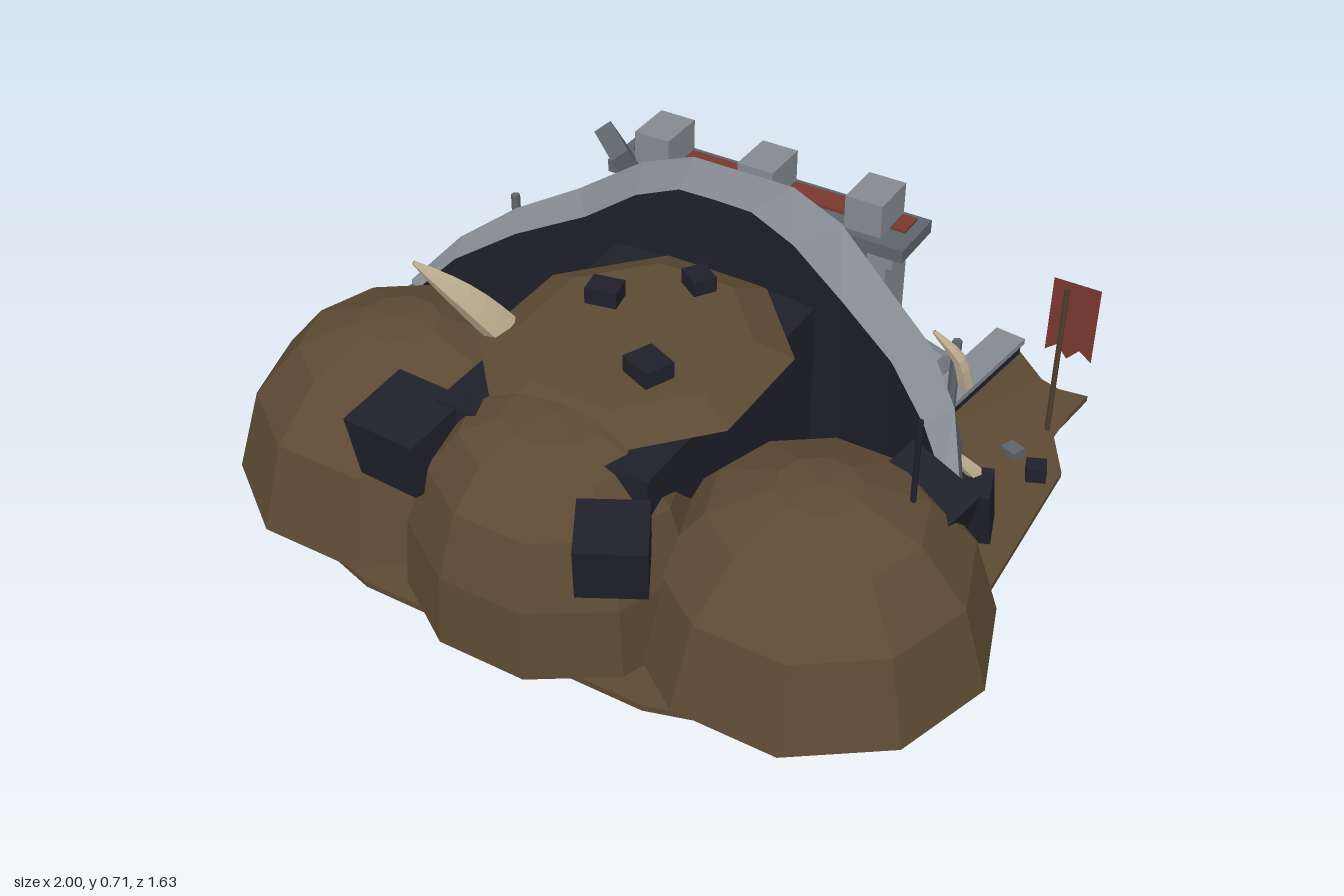
import * as THREE from 'three';

const mat = (name, color) => {
  const m = new THREE.MeshStandardMaterial({ color, flatShading: true, side: THREE.DoubleSide });
  m.name = name;
  return m;
};
const M = {
  earth: mat('earth', 0x5c4a33),
  dark: mat('dark rock', 0x20202b),
  stone: mat('pale stone', 0x858a91),
  slate: mat('slate', 0x5d646b),
  red: mat('rust red', 0x78382f),
  bone: mat('bone', 0xc6b797),
  wood: mat('wood', 0x4c3e2c),
};

// Surface through rows of points with equal counts
function loft(rows) {
  const n = rows[0].length, idx = [];
  for (let i = 0; i < rows.length - 1; i++) {
    for (let j = 0; j < n - 1; j++) {
      const a = i * n + j, b = a + n;
      idx.push(a, b, a + 1, b, b + 1, a + 1);
    }
  }
  const g = new THREE.BufferGeometry();
  g.setAttribute('position', new THREE.Float32BufferAttribute(rows.flat(2), 3));
  g.setIndex(idx);
  g.computeVertexNormals();
  return g;
}

// Tube that tapers from its base to a point
function tuskGeometry(points, radius, tipRadius = 0.005) {
  const curve = new THREE.CatmullRomCurve3(points.map(p => new THREE.Vector3(...p)));
  const n = 6, sides = 6;
  const g = new THREE.TubeGeometry(curve, n, radius, sides);
  const pos = g.attributes.position, v = new THREE.Vector3();
  for (let i = 0; i < pos.count; i++) {
    const t = Math.floor(i / (sides + 1)) / n;
    const c = curve.getPointAt(t);
    const s = 1 + (tipRadius / radius - 1) * t * t;
    v.fromBufferAttribute(pos, i).sub(c).multiplyScalar(s).add(c);
    pos.setXYZ(i, v.x, v.y, v.z);
  }
  return g;
}

export function createModel() {
  const model = new THREE.Group();
  model.name = 'hillFortress';
  const add = (name, geo, material, p = [0, 0, 0], r = [0, 0, 0]) => {
    const m = new THREE.Mesh(geo, material);
    m.name = name;
    m.position.set(...p);
    m.rotation.set(...r);
    model.add(m);
    return m;
  };
  const box = (name, size, material, p, r) => add(name, new THREE.BoxGeometry(...size), material, p, r);
  const post = (name, radius, height, material, p, r) =>
    add(name, new THREE.CylinderGeometry(radius, radius, height, 6), material, p, r);

  // Ground slab
  const half = [[0.25, -0.82], [0.57, -0.78], [0.8, -0.81], [0.78, -0.62], [0.86, -0.48],
    [0.88, 0.05], [0.88, 0.45], [0.68, 0.65], [0.38, 0.74]];
  const outline = [...half, ...half.map(([x, z]) => [-x, z]).reverse()];
  const ground = new THREE.ExtrudeGeometry(
    new THREE.Shape(outline.map(([x, z]) => new THREE.Vector2(x, -z))), { depth: 0.016, bevelEnabled: false });
  ground.rotateX(-Math.PI / 2);
  add('ground', ground, M.earth);

  // Earth mounds
  const mound = (name, profile, x, z, sy = 1, sz = 1) => {
    const g = new THREE.LatheGeometry(profile.map(p => new THREE.Vector2(...p)), 10, Math.PI / 2);
    g.scale(1, sy, sz);
    add(name, g, M.earth, [x, 0, z]);
  };
  const side = [[0.43, 0.016], [0.365, 0.24], [0.25, 0.375], [0.1, 0.44], [0, 0.45]];
  mound('leftMound', side, -0.57, 0.31);
  mound('rightMound', side, 0.57, 0.31, 0.94);
  mound('frontMound', [[0.37, 0.016], [0.355, 0.2], [0.3, 0.36], [0.22, 0.455], [0.12, 0.497], [0, 0.505]],
    0, 0.49, 1, 0.91);

  // Passage under an overhanging earth roof
  box('passage', [0.56, 0.45, 0.77], M.dark, [0, 0.242, 0.165]);
  const roof = new THREE.CylinderGeometry(0.27, 0.365, 0.045, 8);
  roof.rotateY(Math.PI / 8).scale(1, 1, 1.12);
  add('earthRoof', roof, M.earth, [0, 0.49, 0.15]);

  // Curved rampart: inner ridge x z, outer ridge x z, foot x z, height
  const stations = [
    [0, -0.215, 0, -0.35, 0, -0.4, 0.69],
    [0.1, -0.212, 0.14, -0.35, 0.17, -0.4, 0.69],
    [0.22, -0.205, 0.28, -0.335, 0.34, -0.41, 0.64],
    [0.36, -0.19, 0.44, -0.28, 0.5, -0.38, 0.54],
    [0.53, -0.12, 0.59, -0.21, 0.64, -0.31, 0.47],
    [0.66, -0.03, 0.7, -0.11, 0.76, -0.19, 0.4],
    [0.745, 0.03, 0.775, 0.01, 0.8, -0.04, 0.31],
  ];
  const all = [...stations.slice(1).reverse().map(s => s.map((v, i) => (i < 6 && i % 2 === 0 ? -v : v))), ...stations];
  const mix = (a, b, t) => a + (b - a) * t;
  const outer = ([, , x, z, fx, fz, h]) => [[0, 1], [0.3, 0.72], [0.45, 0.42], [0.7, 0.2], [1, 0.012]]
    .map(([t, k]) => [mix(x, fx, t), h * k, mix(z, fz, t)]);
  add('rampartRidge', loft(all.map(([ix, iz, ox, oz, , , h]) => [[ix, h - 0.01, iz], [ox, h, oz]])), M.stone);
  add('rampartOuterFace', loft(all.map(outer)), M.slate);
  add('rampartInnerFace', loft(all.map(([ix, iz, , , , , h]) => [[ix, h - 0.01, iz], [ix, 0.012, iz - 0.05]])), M.dark);
  for (const s of [all[0], all[all.length - 1]]) {
    const edge = outer(s);
    add('rampartEnd', loft([edge, edge.map(([, y], i) => [s[0], i ? y : s[6] - 0.01, s[1] - 0.012 * i])]), M.stone);
  }

  // Gatehouse with an arched opening
  const facade = new THREE.Shape();
  facade.moveTo(-0.32, 0.01).lineTo(-0.2, 0.01).lineTo(-0.2, 0.3);
  facade.absellipse(0, 0.3, 0.2, 0.15, Math.PI, 0, true);
  facade.lineTo(0.2, 0.01).lineTo(0.32, 0.01).lineTo(0.32, 0.54).lineTo(-0.32, 0.54);
  add('gateFacade', new THREE.ExtrudeGeometry(facade, { depth: 0.1, bevelEnabled: false, curveSegments: 8 }),
    M.slate, [0, 0, -0.5]);
  box('gateBacking', [0.42, 0.46, 0.01], M.dark, [0, 0.24, -0.405]);
  for (let i = -3; i <= 3; i++) box('gateBar', [0.014, 0.42, 0.014], M.dark, [i * 0.055, 0.23, -0.46]);
  for (const y of [0.15, 0.27, 0.38]) box('gateCrossbar', [0.38, 0.016, 0.014], M.dark, [0, y, -0.46]);
  for (const s of [-1, 1]) {
    box('gatePillar', [0.14, 0.5, 0.12], M.stone, [s * 0.3, 0.26, -0.47]);
    box('pillarFoot', [0.16, 0.05, 0.14], M.slate, [s * 0.3, 0.035, -0.47]);
  }
  box('gateCornice', [0.78, 0.035, 0.14], M.stone, [0, 0.522, -0.472]);
  box('gateRoof', [0.84, 0.035, 0.165], M.slate, [0, 0.56, -0.472]);
  box('roofStripe', [0.78, 0.008, 0.07], M.red, [0, 0.58, -0.5]);
  for (const x of [-0.3, 0, 0.3]) box('merlon', [0.1, 0.09, 0.13], M.stone, [x, 0.625, -0.475]);
  box('upperStep', [0.54, 0.05, 0.08], M.slate, [0, 0.035, -0.57]);
  box('lowerStep', [0.5, 0.025, 0.05], M.dark, [0, 0.025, -0.63]);
  box('leaningSlab', [0.05, 0.16, 0.13], M.slate, [-0.37, 0.59, -0.39], [0.2, 0.9, 0.35]);

  for (const s of [-1, 1]) {
    // Retaining walls with earth banked against them
    const yaw = s * 0.12;
    box('retainingWall', [0.07, 0.125, 0.46], M.dark, [s * 0.55, 0.078, -0.55], [0, -yaw, 0]);
    box('wallCap', [0.085, 0.016, 0.47], M.stone, [s * 0.55, 0.147, -0.55], [0, -yaw, 0]);
    add('earthBank', loft([-0.78, -0.34].map((z, i) =>
      [[s * (0.61 - i * 0.05), 0.11, z], [s * 0.68, 0.045, z], [s * 0.79, 0.016, z]])), M.earth);
    post('rampartPost', 0.012, 0.43, M.slate, [s * 0.63, 0.255, -0.265]);
  }

  // Tusks
  const tusk = (points, r, tip) => add('tusk', tuskGeometry(points, r, tip), M.bone);
  tusk([[-0.3, 0.48, 0.26], [-0.35, 0.58, 0.32], [-0.43, 0.705, 0.405]], 0.042);
  tusk([[-0.62, 0.04, -0.34], [-0.74, 0.08, -0.28], [-0.77, 0.18, -0.17], [-0.67, 0.33, -0.1]], 0.028, 0.01);
  tusk([[-0.81, 0.03, -0.17], [-0.84, 0.1, -0.06], [-0.77, 0.21, 0.03]], 0.022, 0.008);
  tusk([[0.67, 0.04, -0.31], [0.75, 0.1, -0.23], [0.77, 0.18, -0.16], [0.71, 0.3, -0.08]], 0.028, 0.01);
  tusk([[0.66, 0.35, -0.27], [0.65, 0.45, -0.23], [0.6, 0.53, -0.19]], 0.02);

  // Boulders and small blocks
  const blocks = [
    ['boulder', [0.21, 0.17, 0.19], [-0.33, 0.365, 0.58], [0.15, -0.1, 0.08]],
    ['boulder', [0.16, 0.15, 0.15], [0.26, 0.355, 0.66], [0.2, 0.5, -0.1]],
    ['boulder', [0.2, 0.15, 0.13], [0.72, 0.27, 0.08], [0.2, -0.25, -0.25]],
    ['boulder', [0.08, 0.18, 0.09], [0.77, 0.125, -0.13], [0.25, 0.3, 0]],
    ['hillBlock', [0.07, 0.045, 0.06], [0.03, 0.53, -0.09], [0, -0.6, 0]],
    ['hillBlock', [0.08, 0.05, 0.065], [-0.135, 0.53, 0.07], [0, 0.2, 0]],
    ['hillBlock', [0.09, 0.05, 0.08], [0.11, 0.53, 0.27], [0, -0.4, 0]],
    ['rubble', [0.05, 0.04, 0.05], [-0.78, 0.036, -0.44], [0, 0.6, 0]],
    ['rubble', [0.05, 0.04, 0.05], [0.81, 0.036, -0.43], [0, 0.4, 0]],
  ];
  for (const [name, size, p, r] of blocks) box(name, size, M.dark, p, r);
  box('fallenSlab', [0.1, 0.2, 0.1], M.slate, [-0.78, 0.13, -0.1], [0.2, -0.3, 0.3]);
  box('rubble', [0.035, 0.03, 0.035], M.slate, [0.29, 0.03, -0.72], [0, 0.3, 0]);
  box('rubble', [0.045, 0.03, 0.04], M.slate, [0.73, 0.035, -0.47], [0, -0.4, 0]);
  box('rubble', [0.05, 0.03, 0.04], M.wood, [-0.48, 0.03, -0.52], [0, 0.5, 0]);

  // Chest, barrel and crate in the yard
  box('chest', [0.12, 0.05, 0.1], M.slate, [0.39, 0.04, -0.67], [0, -0.35, 0]);
  const lid = new THREE.CylinderGeometry(0.05, 0.05, 0.12, 8);
  lid.rotateZ(Math.PI / 2);
  add('chestLid', lid, M.stone, [0.39, 0.065, -0.67], [0, -0.35, 0]);
  add('barrel', new THREE.CylinderGeometry(0.04, 0.04, 0.09, 8), M.dark, [0.46, 0.06, -0.52]);
  box('crate', [0.09, 0.06, 0.09], M.earth, [-0.42, 0.045, -0.68]);
  box('cratePanel', [0.09, 0.06, 0.006], M.red, [-0.42, 0.045, -0.728]);

  // Poles and a forked banner
  post('darkPole', 0.007, 0.3, M.dark, [0.745, 0.44, 0.2]);
  post('bannerPole', 0.007, 0.45, M.wood, [0.765, 0.235, -0.615]);
  const cloth = [[0.7, 0.42], [0.7, 0.2], [0.73, 0.225], [0.76, 0.19], [0.79, 0.225], [0.825, 0.2], [0.825, 0.42]];
  add('banner', new THREE.ShapeGeometry(new THREE.Shape(cloth.map(p => new THREE.Vector2(...p)))),
    M.red, [0, 0, -0.705]);
  return model;
}
